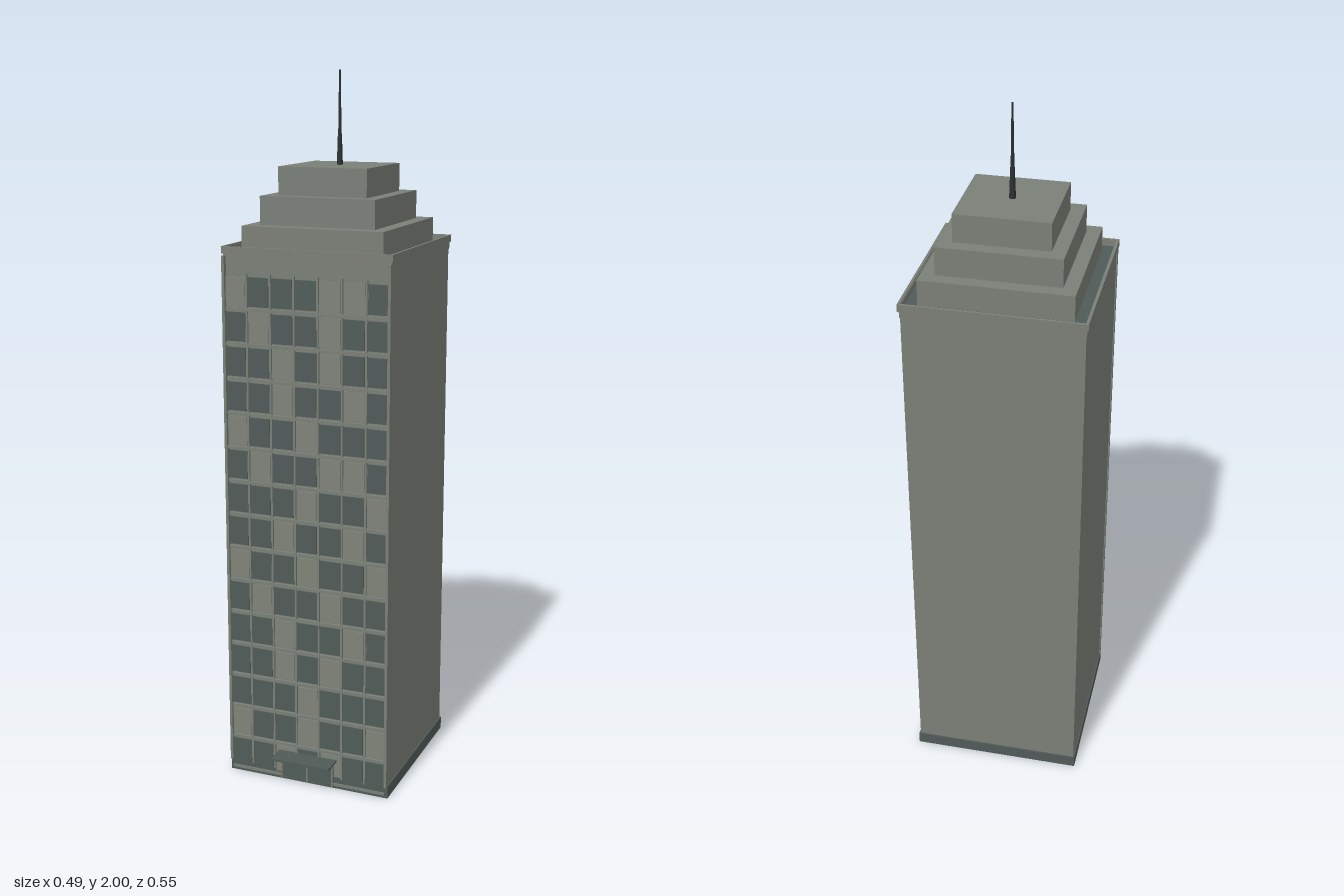
import * as THREE from 'three';

const flat = (name, color) => {
  const m = new THREE.MeshStandardMaterial({ color });
  m.name = name;
  return m;
};

export function createModel() {
  const stone = flat('stone', 0x7a7f77);
  const litGlass = flat('pale glass', 0x7e8379);
  const dark = flat('dark slate', 0x505b58);
  const metal = flat('antenna metal', 0x2b3031);
  const model = new THREE.Group();
  model.name = 'skyscraper';
  const zc = -0.03; // tower axis
  const front = 0.21; // facade plane

  const box = (name, mat, w, h, d, x, y0, z, parent = model) => {
    const mesh = new THREE.Mesh(new THREE.BoxGeometry(w, h, d), mat);
    mesh.name = name;
    mesh.position.set(x, y0 + h / 2, z);
    parent.add(mesh);
    return mesh;
  };

  // Plinth, shaft and sunken roof
  box('plinth', dark, 0.488, 0.035, 0.488, 0, 0, zc);
  box('shaft', stone, 0.48, 1.48, 0.48, 0, 0.035, zc);
  box('roofDeck', dark, 0.476, 0.006, 0.476, 0, 1.515, zc);

  // Parapet ring with a slim coping
  const ring = (name, outer, inner, y, h) => {
    const square = (S, r) => new S([[-r, -r], [r, -r], [r, r], [-r, r]].map(p => new THREE.Vector2(...p)));
    const shape = square(THREE.Shape, outer);
    shape.holes.push(square(THREE.Path, inner));
    const geo = new THREE.ExtrudeGeometry(shape, { depth: h, bevelEnabled: false });
    geo.rotateX(-Math.PI / 2).translate(0, y, zc);
    const mesh = new THREE.Mesh(geo, stone);
    mesh.name = name;
    model.add(mesh);
  };
  ring('parapet', 0.242, 0.237, 1.5, 0.037);
  ring('coping', 0.246, 0.239, 1.52, 0.02);

  // Stepped crown
  [[0.204, 1.518, 1.592], [0.166, 1.592, 1.67], [0.128, 1.67, 1.747]].forEach(([r, a, b], i) =>
    box('crownTier' + (i + 1), stone, 2 * r, b - a, 2 * r, 0, a, zc));

  // Antenna
  [[0.006, 0.009, 1.747, 1.83], [0.0025, 0.005, 1.83, 2]].forEach(([top, bottom, a, b], i) => {
    const mast = new THREE.Mesh(new THREE.CylinderGeometry(top, bottom, b - a, 8), metal);
    mast.name = i ? 'antennaTip' : 'antennaBase';
    mast.position.set(0, (a + b) / 2, zc);
    model.add(mast);
  });

  // Window grid: # is dark glass, . is pale glass
  const rows = [
    '.###..#', '#.##.##', '##.#.##', '##.##.#', '.##.###',
    '#.##..#', '###.##.', '##.##.#', '.##.##.', '#.##.##',
    '##.##.#', '##.#.##', '###.###', '.##.##.', '##.#.##',
  ];
  const windows = new THREE.Group();
  windows.name = 'windows';
  model.add(windows);
  const pitchX = 0.0693, pitchY = 0.0971;
  rows.forEach((row, r) => {
    const y = 1.38 - r * pitchY;
    [...row].forEach((c, i) =>
      box('window', c === '#' ? dark : litGlass, 0.06, 0.08, 0.004, (i - 3) * pitchX, y, front + 0.002, windows));
    // Floor ledge below each row
    box('ledge', stone, 0.47, 0.008, 0.008, 0, y - 0.012, front + 0.003, windows);
  });

  // Mullions and corner ribs
  for (let i = 0; i < 6; i++)
    box('mullion', stone, 0.006, 1.44, 0.006, (i - 2.5) * pitchX, 0.03, front + 0.003, windows);
  for (const s of [-1, 1])
    box('cornerRib', stone, 0.008, 1.48, 0.014, s * 0.239, 0.035, front + 0.005);

  // Entrance with canopy
  box('entrance', dark, 0.16, 0.08, 0.009, 0, 0.004, front + 0.0055);
  for (const x of [-0.078, 0, 0.078])
    box('doorFrame', stone, 0.004, 0.076, 0.003, x, 0.005, front + 0.011);
  box('canopy', dark, 0.178, 0.006, 0.065, 0, 0.083, 0.2425);

  return model;
}
